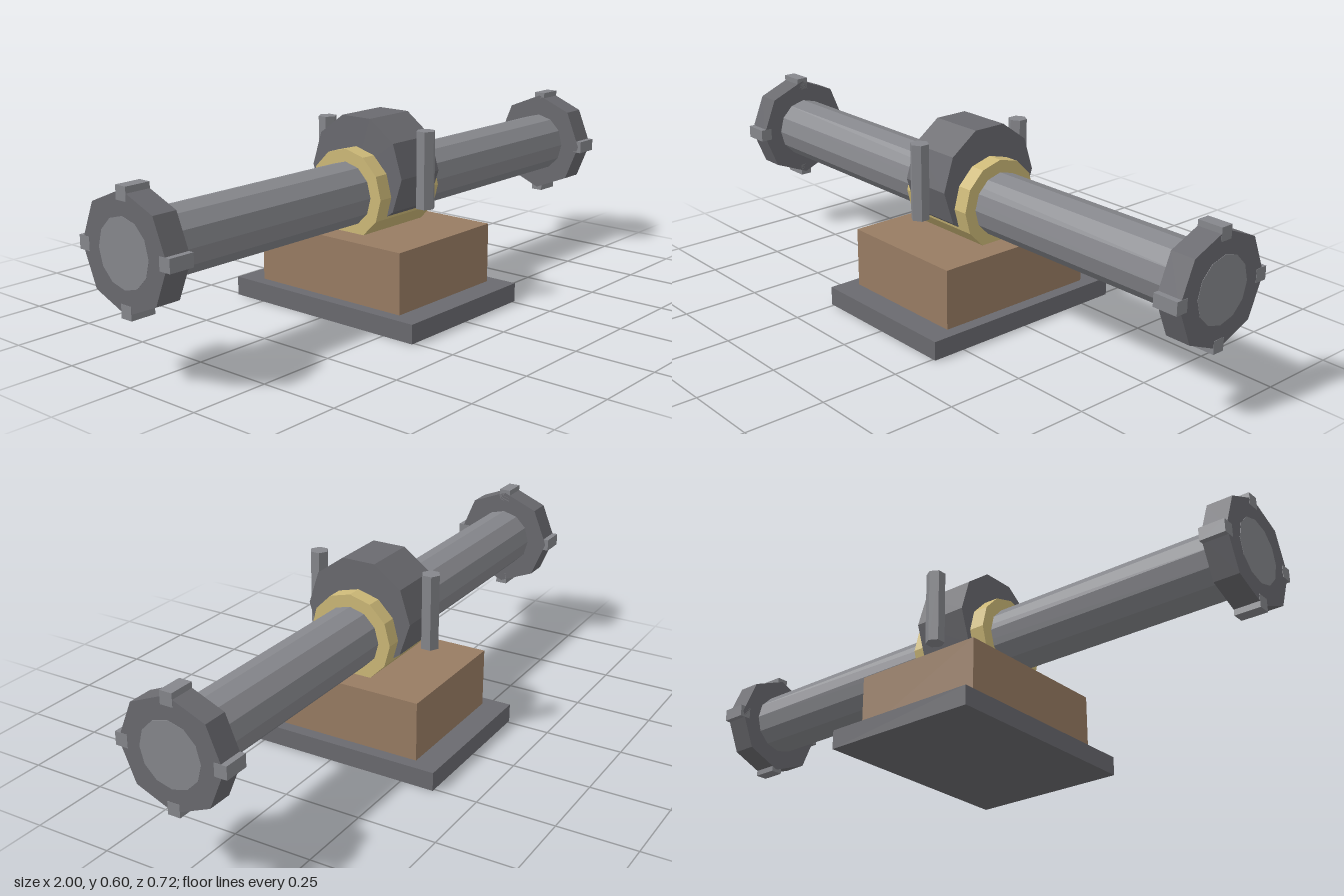
import * as THREE from 'three';

const paint = (color) => new THREE.MeshStandardMaterial({ color, flatShading: true });

export function createModel() {
  const group = new THREE.Group();
  const darkMetal = paint(0x6a6a6f);
  const lightMetal = paint(0x86878c);
  const wood = paint(0x987c63);
  const brass = paint(0xcdb978);
  const axisY = 0.37;

  function add(name, geometry, material, x, y, z) {
    const mesh = new THREE.Mesh(geometry, material);
    mesh.name = name;
    mesh.position.set(x, y, z);
    group.add(mesh);
    return mesh;
  }
  const box = (w, h, d) => new THREE.BoxGeometry(w, h, d);
  // Faceted cylinder lying along x
  const barrel = (radius, length, sides) =>
    new THREE.CylinderGeometry(radius, radius, length, sides).rotateZ(Math.PI / 2);

  // Stand
  add('basePlate', box(0.52, 0.06, 0.72), darkMetal, 0, 0.03, 0);
  add('woodenBlock', box(0.44, 0.19, 0.56), wood, 0, 0.155, 0);

  // Shaft with its central collar and housing
  add('shaft', barrel(0.1, 2, 12), lightMetal, 0, axisY, 0);
  add('collar', barrel(0.14, 0.28, 12), brass, 0, axisY, 0);
  add('housing', barrel(0.18, 0.18, 10), darkMetal, 0, 0.43, 0);

  // Upright pins in front of and behind the housing
  for (const side of [1, -1]) {
    add('pin', new THREE.CylinderGeometry(0.03, 0.03, 0.24, 6), lightMetal, 0, 0.45, side * 0.2);
  }

  // Eight-sided end flanges, each with four lugs; the shaft end stands just proud
  for (const side of [1, -1]) {
    add('endFlange', barrel(0.17, 0.079, 8), darkMetal, side * 0.9595, axisY, 0);
    for (let i = 0; i < 4; i++) {
      const a = (i * Math.PI) / 2;
      add('flangeLug', box(0.08, 0.04, 0.04), lightMetal,
        side * 0.96, axisY + 0.16 * Math.cos(a), 0.16 * Math.sin(a));
    }
  }
  return group;
}
